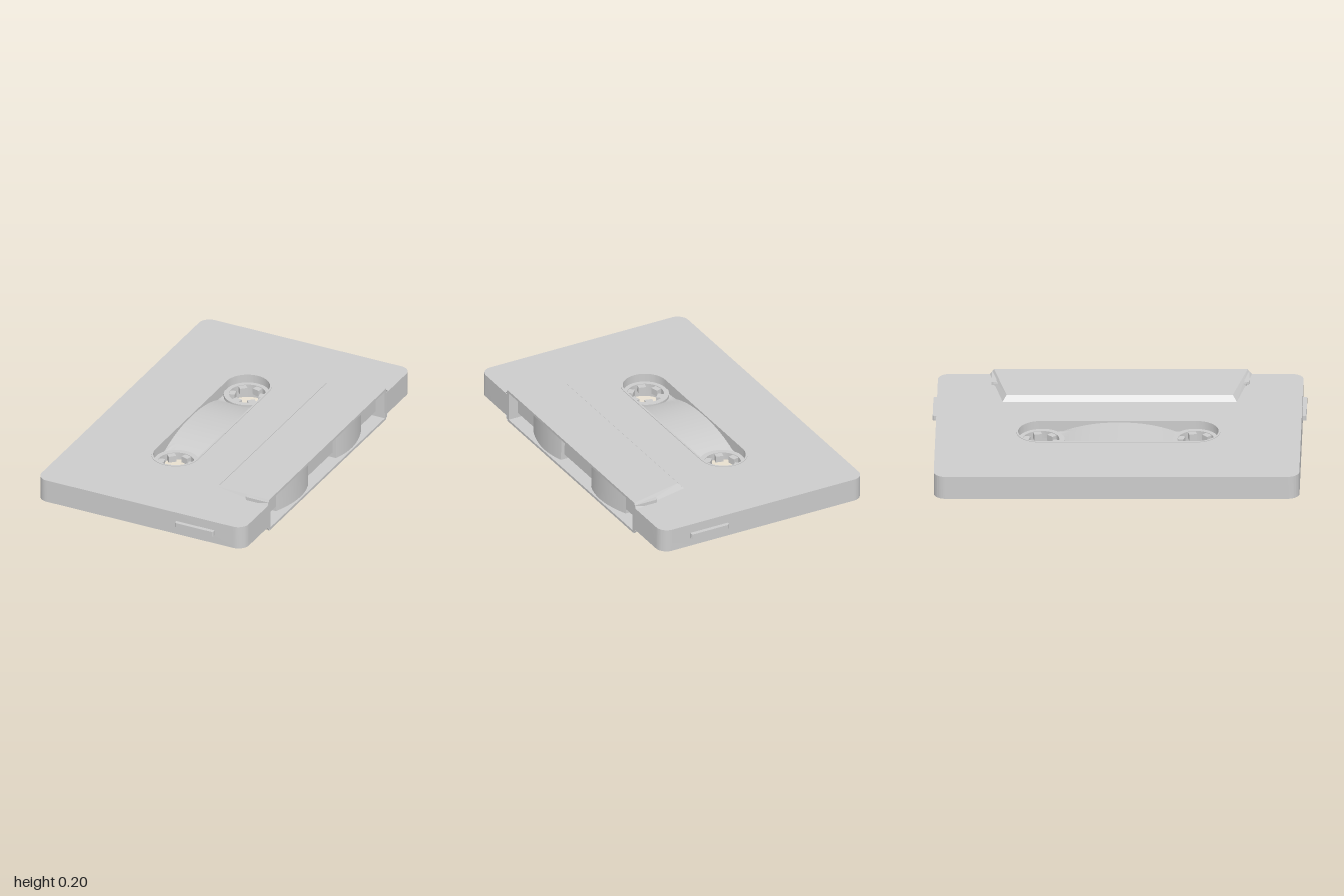
import * as THREE from 'three';
import { toCreasedNormals } from 'three/addons/utils/BufferGeometryUtils.js';

const shell = new THREE.MeshStandardMaterial({ color: 0xcccccc, side: THREE.DoubleSide });
shell.name = 'grey plastic';

// Local axes: x = short side (mouth at +x), z = long side, y = thickness.
const HX = 0.598, HZ = 0.937, HALF = 0.0625, RAISED = 0.09;
const HUB_X = -0.071, HUB_Z = 0.397;

function add(parent, name, geometry) {
  const mesh = new THREE.Mesh(geometry, shell);
  mesh.name = name;
  parent.add(mesh);
  return mesh;
}

// Extrudes an x/z outline symmetrically about y = 0
function slab(shape, half) {
  const g = new THREE.ExtrudeGeometry(shape, { depth: half * 2, bevelEnabled: false, curveSegments: 20 });
  g.rotateX(Math.PI / 2).translate(0, half, 0);
  return toCreasedNormals(g, 0.6);
}

function stadium(Type, r) {
  const s = new Type();
  s.absarc(HUB_X, HUB_Z, r, 0, Math.PI, false);
  s.absarc(HUB_X, -HUB_Z, r, Math.PI, Math.PI * 2, false);
  s.closePath();
  return s;
}

function box(parent, name, x0, x1, halfY, z0, z1) {
  const g = new THREE.BoxGeometry(x1 - x0, halfY * 2, z1 - z0);
  return add(parent, name, g.translate((x0 + x1) / 2, 0, (z0 + z1) / 2));
}

// Main case: rounded rectangle with a mouth notch and a slot for the hubs
function caseGeometry() {
  const r = 0.06, s = new THREE.Shape();
  s.absarc(HX - r, HZ - r, r, 0, Math.PI / 2, false);
  s.absarc(-HX + r, HZ - r, r, Math.PI / 2, Math.PI, false);
  s.absarc(-HX + r, -HZ + r, r, Math.PI, Math.PI * 1.5, false);
  s.absarc(HX - r, -HZ + r, r, Math.PI * 1.5, Math.PI * 2, false);
  s.lineTo(HX, -0.645);
  s.lineTo(0.48, -0.645);
  s.lineTo(0.48, 0.645);
  s.lineTo(HX, 0.645);
  s.closePath();
  s.holes.push(stadium(THREE.Path, 0.12));
  return slab(s, HALF);
}

// Thickened cover over the mouth: sloped border, flat top and a thin front lip
function coverGeometry() {
  const lip = RAISED - 0.013;
  const p = [
    [0.275, HALF, 0.6], [HX, HALF, 0.672], [HX, HALF, -0.672], [0.275, HALF, -0.6],
    [0.3, RAISED, 0.58], [HX, RAISED, 0.65], [HX, RAISED, -0.65], [0.3, RAISED, -0.58],
    [HX, lip, 0.65], [HX, lip, -0.65], [0.46, lip, 0.65], [0.46, lip, -0.65],
  ];
  const quads = [[4, 5, 6, 7], [0, 1, 5, 4], [3, 0, 4, 7], [2, 3, 7, 6], [5, 8, 9, 6], [8, 10, 11, 9]];
  const pos = [];
  for (const [a, b, c, d] of quads) for (const i of [a, b, c, a, c, d]) pos.push(...p[i]);
  const g = new THREE.BufferGeometry();
  g.setAttribute('position', new THREE.Float32BufferAttribute(pos, 3));
  g.computeVertexNormals();
  return g;
}

// Arched floor between the hubs, highest in the middle
function saddleGeometry() {
  const g = new THREE.PlaneGeometry(1, 1, 12, 32).rotateX(-Math.PI / 2);
  const a = g.attributes.position;
  for (let i = 0; i < a.count; i++) {
    const x = a.getX(i) * 0.242, t = a.getZ(i) * 2;
    const end = HUB_Z - Math.sqrt(Math.max(0, 0.115 ** 2 - x * x));
    const z = t * end;
    const y = 0.003 + 0.054 * (1 - Math.min(1, Math.abs(z) / 0.3) ** 2.2);
    a.setXYZ(i, HUB_X + x, y, z);
  }
  g.computeVertexNormals();
  return g;
}

// Drive hub: ring with six inward teeth
function addHub(parent, z) {
  const hub = new THREE.Group();
  hub.name = 'hub';
  hub.position.set(HUB_X, 0, z);
  parent.add(hub);
  const ring = new THREE.Shape().absarc(0, 0, 0.121, 0, Math.PI * 2, false);
  ring.holes.push(new THREE.Path().absarc(0, 0, 0.094, 0, Math.PI * 2, true));
  add(hub, 'hubRing', slab(ring, 0.02));
  for (let i = 0; i < 6; i++) {
    const tooth = new THREE.BoxGeometry(0.036, 0.034, 0.04).translate(0.08, 0, 0);
    add(hub, 'hubTooth', tooth.rotateY(0.25 + i * Math.PI / 3));
  }
}

export function createModel() {
  const model = new THREE.Group();
  model.name = 'cassette';
  const body = new THREE.Group();
  body.name = 'cassetteBody';

  add(body, 'case', caseGeometry());

  // Thin raised rim around the hub slot
  const rim = stadium(THREE.Shape, 0.127);
  rim.holes.push(stadium(THREE.Path, 0.117));
  add(body, 'slotRim', slab(rim, HALF + 0.003));

  // Upper and lower covers and arched floors
  for (const side of [1, -1]) {
    add(body, 'mouthCover', coverGeometry()).scale.y = side;
    add(body, 'slotFloor', saddleGeometry()).scale.y = side;
  }

  // Mouth interior
  box(body, 'mouthBackWall', 0.46, 0.49, 0.077, -0.645, 0.645);
  box(body, 'tapeStrip', 0.49, 0.545, 0.05, -0.64, 0.64);

  for (const side of [1, -1]) {
    addHub(body, side * HUB_Z);

    // Mouth end walls
    const wall = side * 0.648;
    box(body, 'mouthEndWall', 0.47, HX, 0.08, wall - 0.012, wall + 0.012);

    // Rounded pillars between the windows
    const pillar = new THREE.Shape();
    pillar.moveTo(0.48, 0.155);
    pillar.lineTo(0.565, 0.155);
    pillar.quadraticCurveTo(0.62, 0.3, 0.545, 0.475);
    pillar.lineTo(0.48, 0.475);
    pillar.closePath();
    add(body, 'mouthPillar', slab(pillar, 0.0775)).scale.z = side;

    // Small ribs on the short sides
    const rib = new THREE.Shape();
    rib.moveTo(0.21, 0.93);
    rib.lineTo(0.432, 0.93);
    rib.lineTo(0.432, 0.95);
    rib.lineTo(0.426, 0.958);
    rib.lineTo(0.216, 0.958);
    rib.lineTo(0.21, 0.95);
    rib.closePath();
    add(body, 'sideRib', slab(rib, 0.0135)).scale.z = side;
  }

  // Resting pose: slight tilt, turned about the vertical axis
  body.rotation.set(-0.0095, 0, 0.0135);
  body.position.y = 0.092;
  model.add(body);
  model.rotation.y = -0.104;
  model.position.z = -0.004;
  const root = new THREE.Group();
  root.name = 'cassetteModel';
  root.add(model);
  return root;
}
